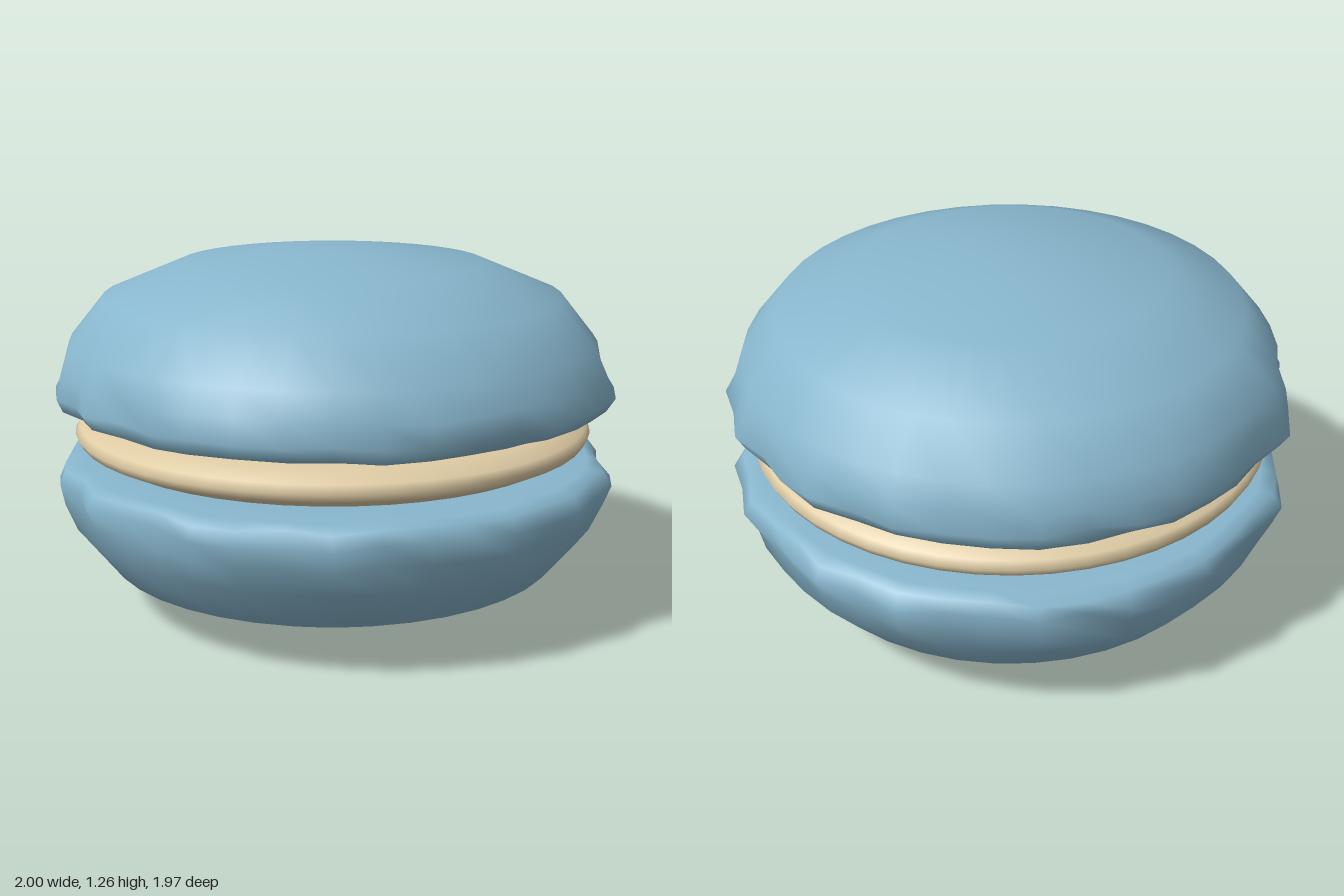
import * as THREE from 'three';
import { mergeVertices } from 'three/addons/utils/BufferGeometryUtils.js';

const MID = 0.628; // height of the mirror plane between the two shells
const SEGMENTS = 40;

// Shell section from the flat inner face to the crown: radius, height above MID, ruffle amount
const SHELL = [
  [0, 0.092, 0], [0.78, 0.092, 0], [0.9, 0.094, 0.012], [0.945, 0.108, 0.024],
  [0.965, 0.155, 0.034], [0.945, 0.225, 0.026], [0.92, 0.318, 0.008],
  [0.8, 0.467, 0], [0.535, 0.577, 0], [0.2, 0.621, 0], [0, 0.628, 0],
];

// Repeatable noise in -1..1
function noise(a, b) {
  const s = Math.sin(a * 127.1 + b * 311.7) * 43758.5453;
  return (s - Math.floor(s)) * 2 - 1;
}

// Weld the lathe seam and poles so that the shading is smooth all round
function smooth(geometry) {
  geometry.deleteAttribute('uv');
  geometry.deleteAttribute('normal');
  const welded = mergeVertices(geometry, 1e-4);
  welded.computeVertexNormals();
  return welded;
}

// Domed shell with an irregular ruffled foot; side is 1 for the upper, -1 for the lower
function shellGeometry(side) {
  const rows = side > 0 ? SHELL : [...SHELL].reverse();
  const geometry = new THREE.LatheGeometry(
    rows.map(([r, y]) => new THREE.Vector2(r, MID + side * y)), SEGMENTS);
  const pos = geometry.attributes.position;
  for (let i = 0; i < pos.count; i++) {
    const segment = Math.floor(i / rows.length) % SEGMENTS;
    const row = rows[i % rows.length];
    const [r, , ruffle] = row;
    if (!ruffle) continue;
    // The widest points lie on the x axis
    const onSide = segment % (SEGMENTS / 2) === SEGMENTS / 4;
    const wave = onSide ? 1.03 : 0.5 * noise(segment, 1) + 0.5 * noise(segment, SHELL.indexOf(row) + 2);
    const k = (r + ruffle * wave) / r;
    const lift = side * ruffle * 0.3 * noise(segment, 20);
    pos.setXYZ(i, pos.getX(i) * k, pos.getY(i) + lift, pos.getZ(i) * k);
  }
  return smooth(geometry);
}

// Lens-shaped cream disc
function fillingGeometry() {
  const half = [[0.91, 0], [0.895, 0.028], [0.83, 0.06], [0.66, 0.086], [0, 0.09]];
  const points = [
    ...[...half].reverse().map(([r, y]) => new THREE.Vector2(r, MID - y)),
    ...half.slice(1).map(([r, y]) => new THREE.Vector2(r, MID + y)),
  ];
  return smooth(new THREE.LatheGeometry(points, 48));
}

export function createModel() {
  const shellBlue = new THREE.MeshStandardMaterial({ color: 0x88b6cd });
  shellBlue.name = 'shellBlue';
  const cream = new THREE.MeshStandardMaterial({ color: 0xdecba4 });
  cream.name = 'cream';

  const model = new THREE.Group();
  model.name = 'macaron';
  const add = (name, geometry, material) => {
    const mesh = new THREE.Mesh(geometry, material);
    mesh.name = name;
    model.add(mesh);
  };
  add('topShell', shellGeometry(1), shellBlue);
  add('filling', fillingGeometry(), cream);
  add('bottomShell', shellGeometry(-1), shellBlue);
  return model;
}
